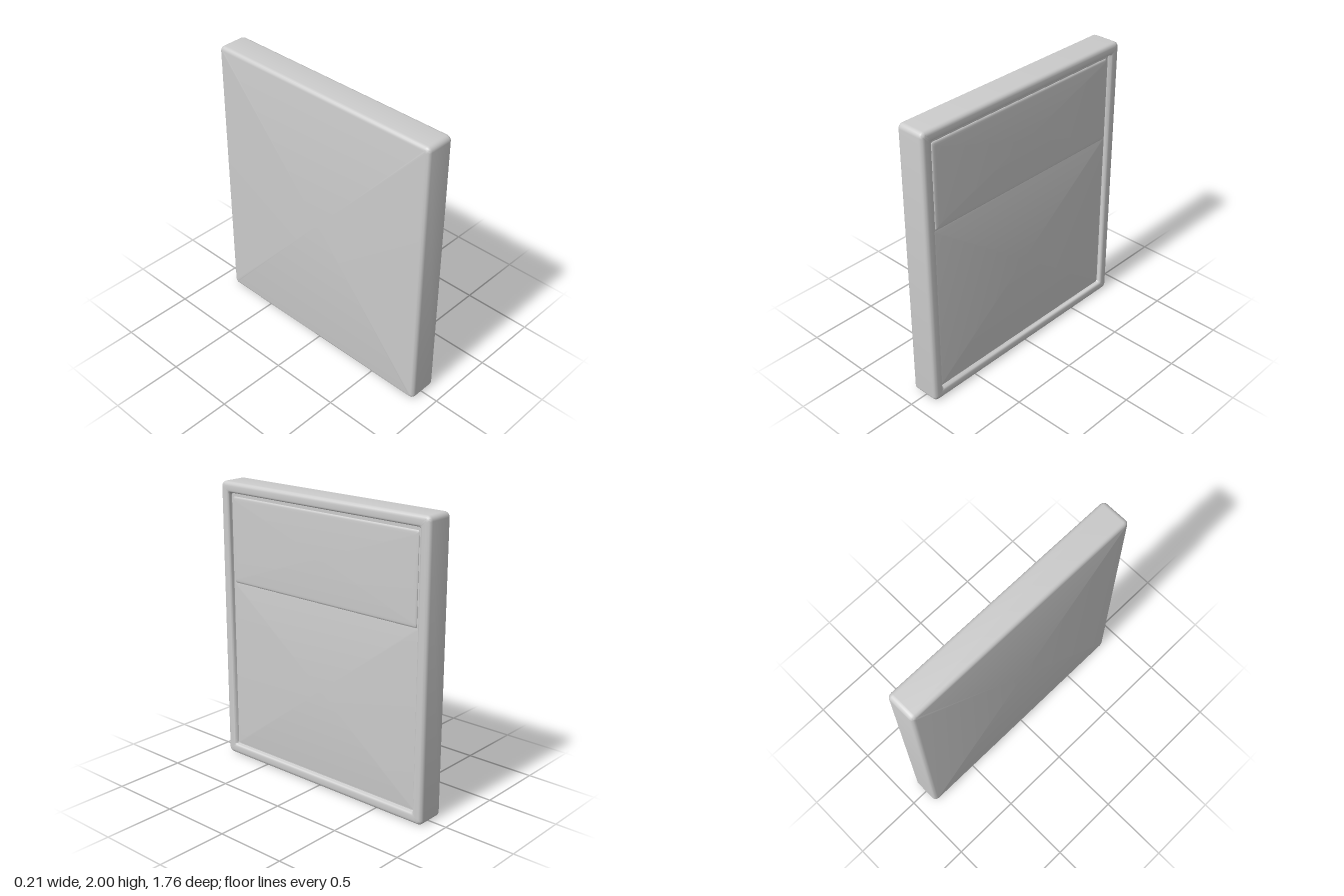
import * as THREE from 'three';
import { toCreasedNormals } from 'three/addons/utils/BufferGeometryUtils.js';

const material = new THREE.MeshStandardMaterial({ color: 0xcccccc });
const CORNER_STEPS = 6;

// Rounded rectangle outline in the z/y plane, counterclockwise seen from +x
function outline(x, halfZ, halfY, radius) {
  const points = [];
  const corners = [[1, 1], [-1, 1], [-1, -1], [1, -1]];
  corners.forEach(([su, sy], k) => {
    for (let i = 0; i <= CORNER_STEPS; i++) {
      const a = (k + i / CORNER_STEPS) * Math.PI / 2;
      const u = su * (halfZ - radius) + radius * Math.cos(a);
      points.push([x, sy * (halfY - radius) + radius * Math.sin(a), -u]);
    }
  });
  return points;
}

// Closed solid through rings of [x, inset, corner radius], ordered back to front
function loft(name, halfZ, halfY, rings) {
  const loops = rings.map(([x, inset, r]) => outline(x, halfZ - inset, halfY - inset, r));
  const n = loops[0].length;
  const last = loops.length - 1;
  const positions = loops.flat(2);
  const index = [];
  const back = loops.length * n;
  positions.push(rings[0][0], 0, 0, rings[last][0], 0, 0);
  for (let j = 0; j < n; j++) {
    const k = (j + 1) % n;
    for (let i = 0; i < last; i++) {
      const a = i * n + j, b = i * n + k;
      index.push(a, b, b + n, a, b + n, a + n);
    }
    index.push(back, k, j, back + 1, last * n + j, last * n + k);
  }
  const geometry = new THREE.BufferGeometry();
  geometry.setAttribute('position', new THREE.Float32BufferAttribute(positions, 3));
  geometry.setIndex(index);
  const mesh = new THREE.Mesh(toCreasedNormals(geometry, 0.6), material);
  mesh.name = name;
  return mesh;
}

export function createModel() {
  const group = new THREE.Group();
  group.name = 'framedPanel';
  const front = 0.105, bevel = 0.028, floor = 0.075;

  // Case: flat back, rounded rim, and a shallow recess on the +x face
  const rings = [];
  for (let i = 0; i <= 5; i++) {
    const a = i / 5 * Math.PI / 2;
    rings.push([-front + bevel * (1 - Math.sin(a)), bevel * (1 - Math.cos(a)), 0.034 - 0.02 * (1 - Math.cos(a))]);
  }
  rings.reverse();
  const frontRings = rings.map(([x, inset, r]) => [-x, inset, r]).reverse();
  rings.push(...frontRings);
  // Inner lip rolling down to the recessed floor
  for (let i = 0; i <= 4; i++) {
    const a = i / 4 * Math.PI / 2;
    rings.push([front - 0.018 * (1 - Math.cos(a)), 0.056 + 0.018 * Math.sin(a), 0.015]);
  }
  rings.push([floor, 0.078, 0.015]);
  const body = loft('frame', 0.88, 1, rings);
  body.position.y = 1;
  group.add(body);

  // Upper panel stands slightly proud of the lower one, with softened edges
  const upper = loft('upperPanel', 0.785, 0.302, [
    [floor - 0.01, 0, 0.012],
    [floor + 0.003, 0.001, 0.012],
    [floor + 0.007, 0.005, 0.012],
    [floor + 0.009, 0.014, 0.01],
    [floor + 0.01, 0.028, 0.008],
  ]);
  upper.position.y = 1.6;
  group.add(upper);

  // Lower panel, a thin sheet with a gentle edge
  const lower = loft('lowerPanel', 0.795, 0.608, [
    [floor - 0.01, 0, 0.012],
    [floor, 0.002, 0.012],
    [floor + 0.002, 0.015, 0.01],
  ]);
  lower.position.y = 0.69;
  group.add(lower);

  return group;
}
